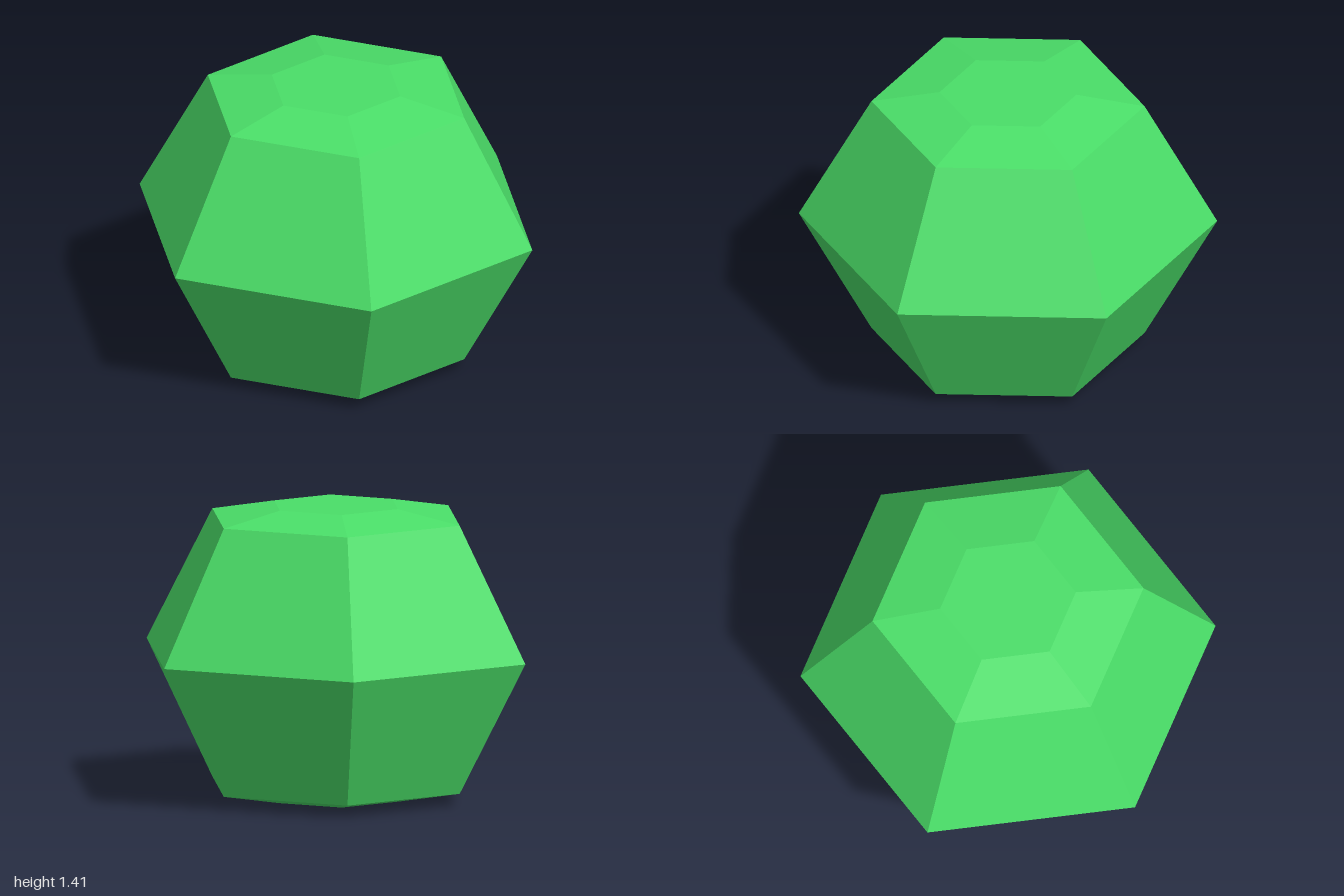
import * as THREE from 'three';

export function createModel() {
  const group = new THREE.Group();
  group.name = 'facetedGem';

  // Half profile from the bottom centre to the top centre: [radius, height]
  const profile = [
    [0, 0], [0.327, 0], [0.653, 0.059], [1, 0.707],
    [0.653, 1.355], [0.327, 1.414], [0, 1.414],
  ].map(([r, y]) => new THREE.Vector2(r, y));

  // Six-sided body with corners on the x axis
  const body = new THREE.Mesh(
    new THREE.LatheGeometry(profile, 6, Math.PI / 2),
    new THREE.MeshStandardMaterial({ color: 0x4ade68, flatShading: true }),
  );
  body.name = 'gemBody';
  group.add(body);

  return group;
}
